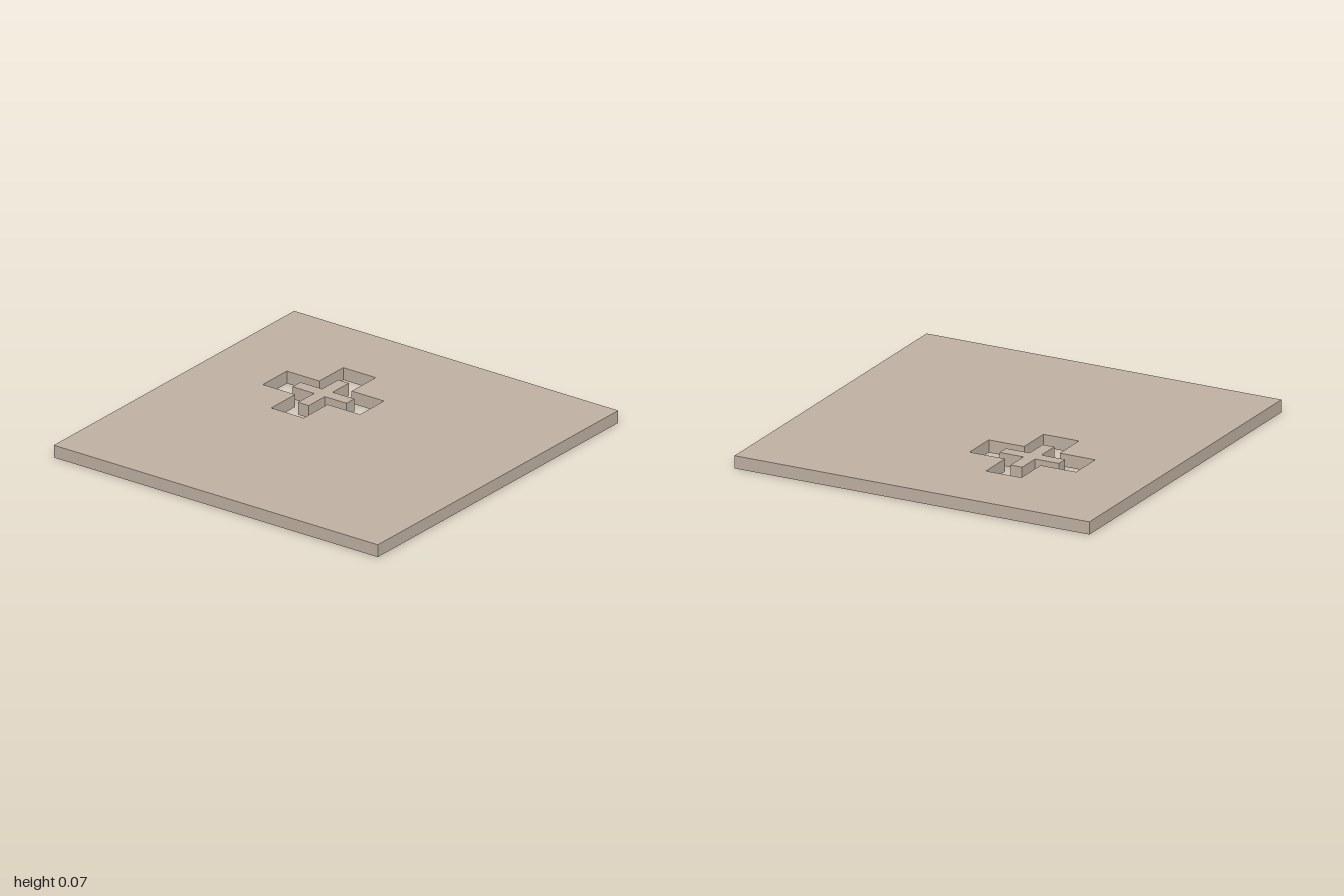
import * as THREE from 'three';

const THICKNESS = 0.067;
const CENTRE = -0.3; // x and z of the cross cut-out

// Outline of an equal-armed cross: arm reach r, half arm width w
function crossPoints(r, w) {
  return [
    [w, r], [-w, r], [-w, w], [-r, w], [-r, -w], [-w, -w],
    [-w, -r], [w, -r], [w, -w], [r, -w], [r, w], [w, w],
  ].map(([x, z]) => new THREE.Vector2(CENTRE + x, CENTRE + z));
}

// Extrude a flat outline into a slab lying on y = 0
function slab(shape, material, name) {
  const geometry = new THREE.ExtrudeGeometry(shape, { depth: THICKNESS, bevelEnabled: false });
  geometry.rotateX(Math.PI / 2).translate(0, THICKNESS, 0);
  const mesh = new THREE.Mesh(geometry, material);
  mesh.name = name;
  return mesh;
}

export function createModel() {
  const model = new THREE.Group();
  model.name = 'crossCutPlate';
  const beige = new THREE.MeshStandardMaterial({ color: 0xbfb0a2 });
  beige.name = 'beige';

  // Square plate with a cross-shaped opening
  const square = new THREE.Shape([[-1, -1], [1, -1], [1, 1], [-1, 1]].map(([x, z]) => new THREE.Vector2(x, z)));
  square.holes.push(new THREE.Path(crossPoints(0.3, 0.1)));
  model.add(slab(square, beige, 'plate'));

  // Smaller loose cross centred in the opening
  model.add(slab(new THREE.Shape(crossPoints(0.167, 0.033)), beige, 'innerCross'));

  return model;
}
